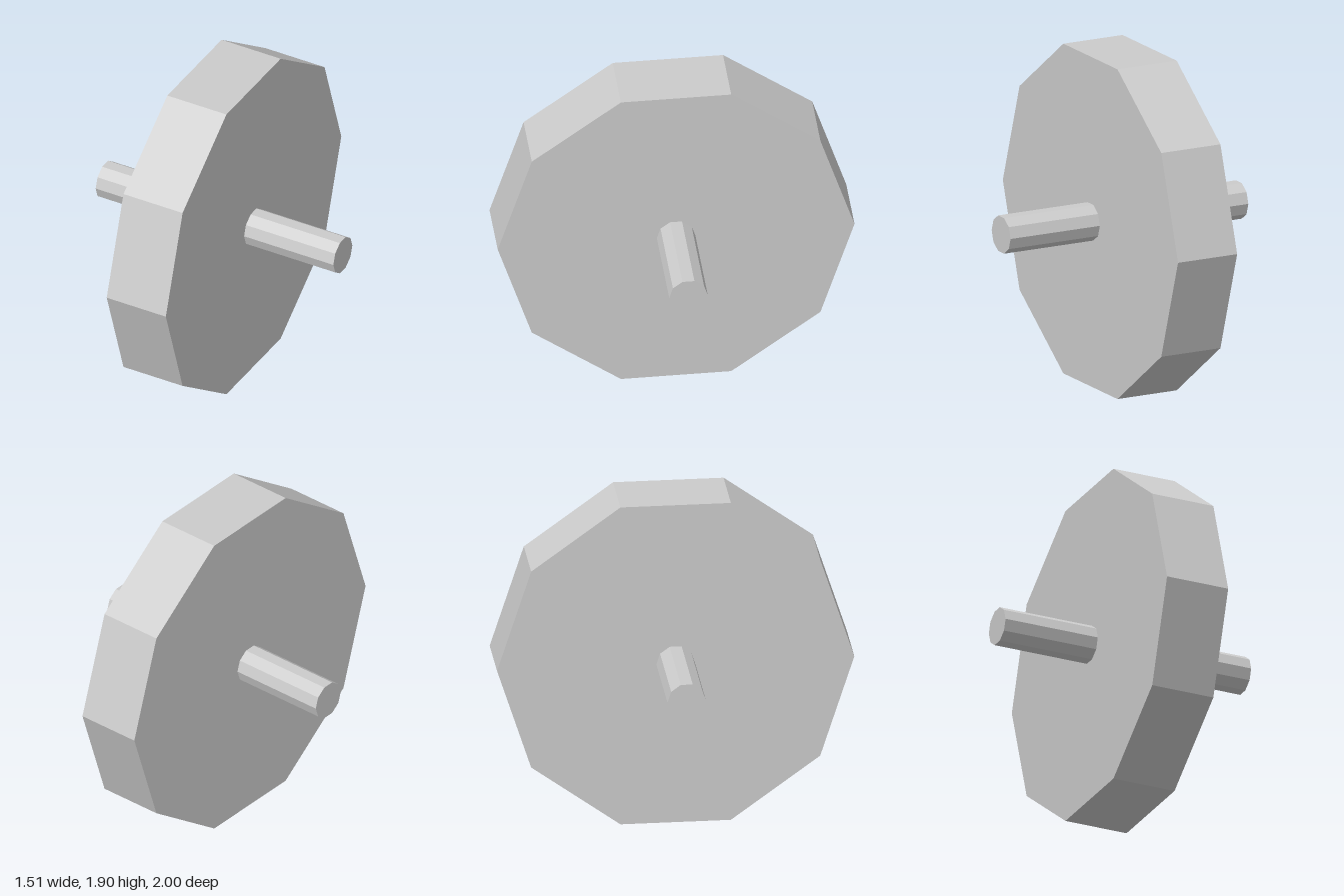
import * as THREE from 'three';

const SIDES = 10;
const RADIUS = 1;
// Height of the axis so that the lowest flat rests on the ground
const AXIS_Y = RADIUS * Math.cos(Math.PI / SIDES);

export function createModel() {
  const group = new THREE.Group();
  const material = new THREE.MeshStandardMaterial({ color: 0xcccccc, flatShading: true });

  // Ten-sided prism lying along x, with corners pointing to front and back
  const addPrism = (name, radius, length) => {
    const geometry = new THREE.CylinderGeometry(radius, radius, length, SIDES);
    geometry.rotateZ(Math.PI / 2);
    const mesh = new THREE.Mesh(geometry, material);
    mesh.name = name;
    mesh.position.y = AXIS_Y;
    group.add(mesh);
  };

  addPrism('wheel', RADIUS, 0.377);
  // Axle runs through the wheel and sticks out on both sides
  addPrism('axle', 0.108, 1.515);

  return group;
}
